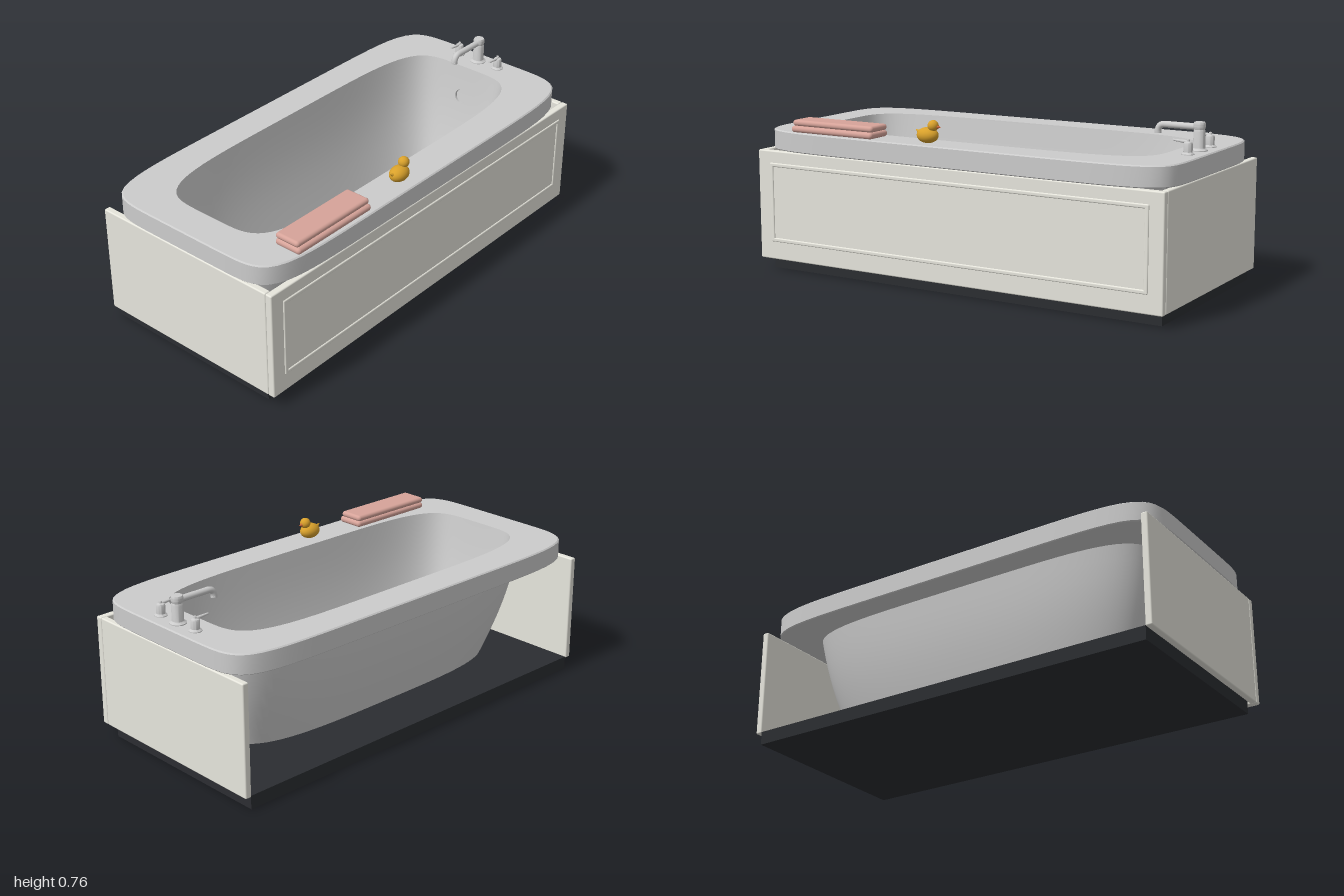
import * as THREE from 'three';
import { toCreasedNormals } from 'three/addons/utils/BufferGeometryUtils.js';
import { RoundedBoxGeometry } from 'three/addons/geometries/RoundedBoxGeometry.js';

const mat = (color, side = THREE.FrontSide) => new THREE.MeshStandardMaterial({ color, side });
const grey = mat(0xcccccc);
const greyDouble = mat(0xcccccc, THREE.DoubleSide);
const cream = mat(0xe6e5dc);
const dark = mat(0x2b2d31);
const pink = mat(0xd6a399);
const yellow = mat(0xd9a12b);
const orange = mat(0xd0693a);

function add(parent, name, geometry, material, x = 0, y = 0, z = 0) {
  const mesh = new THREE.Mesh(geometry, material);
  mesh.name = name;
  mesh.position.set(x, y, z);
  parent.add(mesh);
  return mesh;
}

// Loft through superellipse rings: [halfX, halfZ, exponent, y, centreX, centreZ]
function loft(rings, crease = 0.5, segments = 144) {
  const positions = [], indices = [];
  for (const [a, b, n, y, cx = 0, cz = 0] of rings) {
    for (let i = 0; i < segments; i++) {
      const t = (i / segments) * Math.PI * 2;
      const c = Math.cos(t), s = Math.sin(t);
      const r = Math.pow(Math.abs(c) ** n + Math.abs(s) ** n, -1 / n);
      positions.push(cx + a * r * c, y, cz + b * r * s);
    }
  }
  for (let k = 0; k < rings.length - 1; k++) {
    for (let i = 0; i < segments; i++) {
      const j = (i + 1) % segments;
      const p = k * segments + i, q = k * segments + j;
      indices.push(p, p + segments, q, q, p + segments, q + segments);
    }
  }
  const g = new THREE.BufferGeometry();
  g.setAttribute('position', new THREE.Float32BufferAttribute(positions, 3));
  g.setIndex(indices);
  return toCreasedNormals(g, crease);
}

function lathe(points, segments = 32) {
  const g = new THREE.LatheGeometry(points.map(([r, y]) => new THREE.Vector2(r, y)), segments);
  return toCreasedNormals(g, 0.6);
}

// Basin wall ring at fraction t from opening (0) to floor (1), grown outwards by d
function wallRing(t, d) {
  const bulge = 0.015 * Math.sin(Math.PI * t);
  return [0.845 - 0.12 * t + bulge + d, 0.317 - 0.1 * t + bulge + d,
    5 - 1.4 * t, 0.64 - 0.52 * t, -0.004, -0.004];
}

function buildTub() {
  const tub = new THREE.Group();
  tub.name = 'tub';
  const rim = loft([
    [0.86, 0.33, 5, 0.55],
    [0.996, 0.468, 8, 0.55],
    [1, 0.472, 8, 0.554],
    [1, 0.472, 8, 0.635],
    [0.995, 0.467, 8, 0.64],
    wallRing(0, 0),
  ]);
  add(tub, 'rim', rim, greyDouble);

  const steps = [0, 0.15, 0.3, 0.45, 0.6, 0.75, 0.9, 1];
  const inner = steps.map((t) => wallRing(t, 0));
  inner.push([0.36, 0.11, 3, 0.113], [0.001, 0.001, 2, 0.11]);
  add(tub, 'basin', loft(inner), greyDouble);

  // Underside of the basin, hanging below the rim
  const outer = steps.map((t) => {
    const ring = wallRing(t, 0.03);
    ring[3] = 0.56 - 0.48 * t;
    return ring;
  });
  outer.push([0.001, 0.001, 2, 0.075]);
  add(tub, 'shell', loft(outer), greyDouble);

  const disc = lathe([[0, 0.012], [0.022, 0.012], [0.033, 0.006], [0.033, -0.006]]);
  add(tub, 'drain', disc, grey, 0.6, 0.118, 0);
  const overflow = add(tub, 'overflow', disc, grey, 0.813, 0.5, 0);
  overflow.rotation.z = Math.PI / 2 - 0.15;
  return tub;
}

function buildCabinet() {
  const cabinet = new THREE.Group();
  cabinet.name = 'surround';
  add(cabinet, 'plinth', new THREE.BoxGeometry(1.94, 0.06, 0.88), dark, 0, 0.03, -0.03);
  add(cabinet, 'frontPanel', new RoundedBoxGeometry(2, 0.495, 0.032, 3, 0.006), cream, 0, 0.3025, 0.454);
  for (const side of [-1, 1]) {
    add(cabinet, 'sidePanel', new RoundedBoxGeometry(0.03, 0.495, 0.912, 3, 0.006), cream,
      side * 0.985, 0.3025, -0.018);
  }
  // Thin raised moulding on the front panel
  const bar = (w, h, x, y) =>
    add(cabinet, 'moulding', new RoundedBoxGeometry(w, h, 0.012, 3, 0.0055), cream, x, y, 0.469);
  for (const s of [-1, 1]) {
    bar(1.87, 0.018, 0, 0.316 + s * 0.171);
    bar(0.018, 0.36, s * 0.926, 0.316);
  }
  return cabinet;
}

function buildTaps() {
  const taps = new THREE.Group();
  taps.name = 'taps';
  taps.position.set(0.932, 0.64, 0);
  const column = lathe([
    [0.036, -0.002], [0.036, 0.004], [0.027, 0.009], [0.025, 0.012], [0.025, 0.08],
    [0.022, 0.088], [0.026, 0.1], [0.026, 0.11], [0.022, 0.119], [0, 0.12],
  ]);
  add(taps, 'spoutColumn', column, grey);

  const path = new THREE.CurvePath();
  const v = (x, y) => new THREE.Vector3(x, y, 0);
  path.add(new THREE.LineCurve3(v(0, 0.098), v(-0.155, 0.098)));
  path.add(new THREE.QuadraticBezierCurve3(v(-0.155, 0.098), v(-0.187, 0.098), v(-0.187, 0.062)));
  add(taps, 'spout', new THREE.TubeGeometry(path, 40, 0.014, 20), greyDouble);
  add(taps, 'spoutTip', new THREE.CylinderGeometry(0.0145, 0.0145, 0.008, 20), grey, -0.187, 0.064, 0);

  const handle = lathe([
    [0.027, -0.002], [0.027, 0.003], [0.021, 0.008], [0.019, 0.01], [0.019, 0.044],
    [0.016, 0.05], [0.007, 0.054], [0.006, 0.062], [0, 0.064],
  ]);
  for (const side of [-1, 1]) {
    add(taps, 'handle', handle, grey, 0, 0, side * 0.111);
    const lever = add(taps, 'handleLever', new THREE.CylinderGeometry(0.004, 0.008, 0.068, 16),
      grey, -0.032, 0.053, side * 0.111);
    lever.rotation.z = Math.PI / 2 - 0.07;
  }
  return taps;
}

function buildDuck() {
  const duck = new THREE.Group();
  duck.name = 'toyDuck';
  duck.position.set(-0.14, 0.64, 0.393);
  const ball = new THREE.SphereGeometry(1, 32, 20);
  add(duck, 'body', ball, yellow, 0, 0.032, 0).scale.set(0.05, 0.034, 0.038);
  add(duck, 'head', ball, yellow, 0.028, 0.074, 0).scale.setScalar(0.024);
  const tail = add(duck, 'tail', new THREE.ConeGeometry(0.018, 0.045, 20), yellow, -0.042, 0.043, 0);
  tail.rotation.z = 1.05;
  const beak = add(duck, 'beak', new THREE.ConeGeometry(0.01, 0.022, 20), orange, 0.056, 0.07, 0);
  beak.rotation.z = -Math.PI / 2;
  return duck;
}

export function createModel() {
  const model = new THREE.Group();
  model.name = 'bathtub';
  model.add(buildTub(), buildCabinet(), buildTaps(), buildDuck());

  // Folded towels stacked on the front ledge
  add(model, 'lowerTowel', new RoundedBoxGeometry(0.435, 0.029, 0.13, 5, 0.014), pink, -0.607, 0.6535, 0.392);
  add(model, 'upperTowel', new RoundedBoxGeometry(0.43, 0.027, 0.12, 5, 0.013), pink, -0.607, 0.6805, 0.387);
  return model;
}
